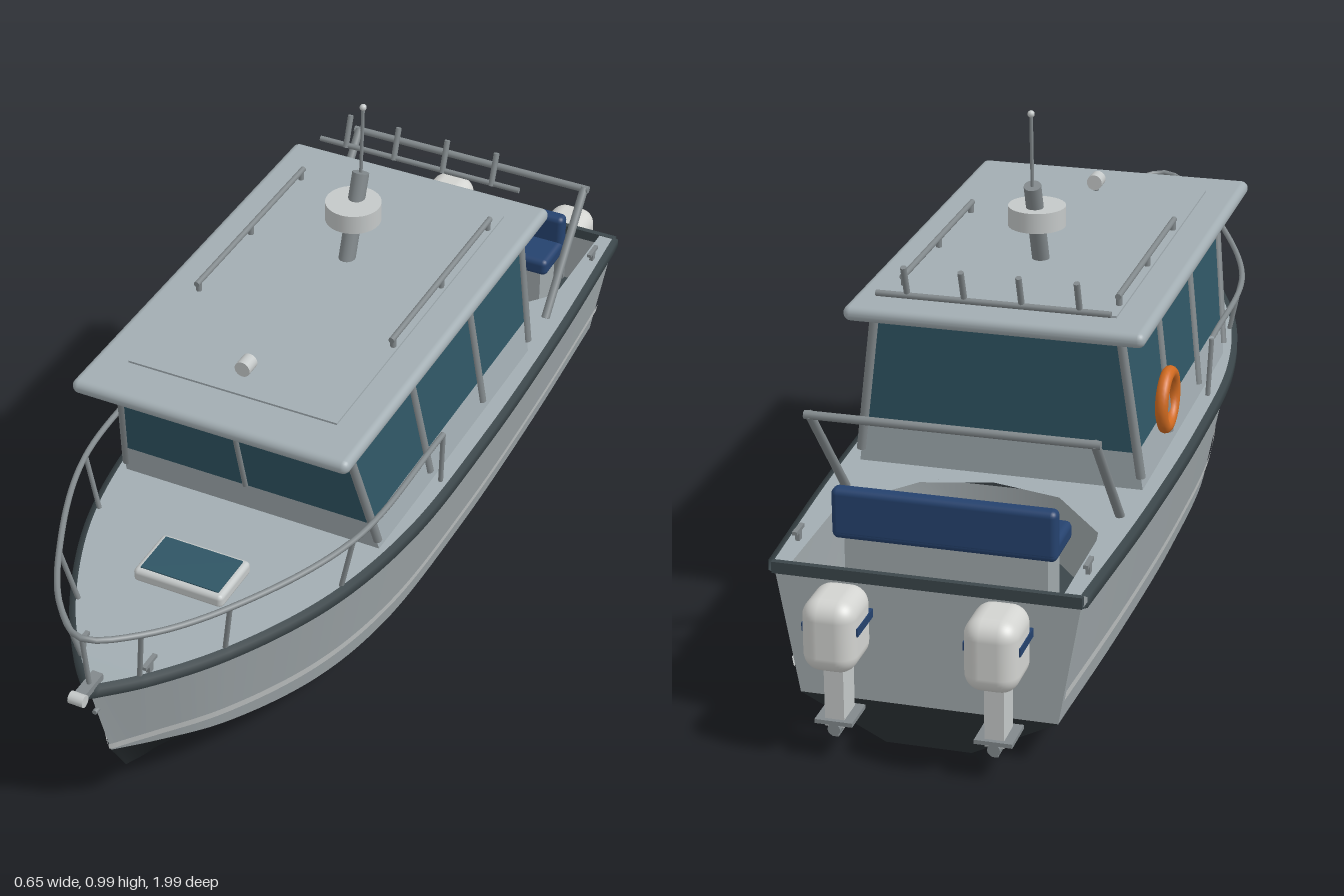
import * as THREE from 'three';
import { RoundedBoxGeometry } from 'three/addons/geometries/RoundedBoxGeometry.js';

const V = (x, y, z) => new THREE.Vector3(x, y, z);
const mat = (name, color, side = THREE.FrontSide) =>
  Object.assign(new THREE.MeshStandardMaterial({ color, side }), { name });

export function createModel() {
  const D = THREE.DoubleSide;
  const hullGrey = mat('hull grey', 0xa0a8ab, D);
  const deckGrey = mat('deck grey', 0xa2adb2, D);
  const stripeGrey = mat('pale grey', 0xc4c8c8, D);
  const bottomPaint = mat('bottom paint', 0x24292c, D);
  const rubber = mat('dark rubber', 0x3b464a, D);
  const glass = mat('tinted glass', 0x2f5564);
  const metal = mat('rail metal', 0x82898c);
  const blue = mat('seat blue', 0x25426e);
  const orange = mat('buoy orange', 0xd06a20);
  const white = mat('engine white', 0xd2d3d0);

  const boat = new THREE.Group();
  boat.name = 'boat';

  // Helpers
  const add = (name, geo, material, x = 0, y = 0, z = 0, parent = boat) => {
    const m = new THREE.Mesh(geo, material);
    m.name = name;
    m.position.set(x, y, z);
    parent.add(m);
    return m;
  };
  const box = (name, w, h, d, material, x, y, z, parent) =>
    add(name, new THREE.BoxGeometry(w, h, d), material, x, y, z, parent);
  const bar = (name, a, b, r, material = metal, sides = 10) => {
    const m = add(name, new THREE.CylinderGeometry(r, r, a.distanceTo(b), sides), material);
    m.position.copy(a).lerp(b, 0.5);
    m.quaternion.setFromUnitVectors(V(0, 1, 0), b.clone().sub(a).normalize());
    return m;
  };
  const loft = (name, rows, material) => {
    const n = rows[0].length, index = [];
    for (let i = 0; i < rows.length - 1; i++)
      for (let j = 0; j < n - 1; j++) {
        const a = i * n + j, b = a + n;
        index.push(a, a + 1, b, a + 1, b + 1, b);
      }
    const g = new THREE.BufferGeometry().setFromPoints(rows.flat());
    g.setIndex(index);
    g.computeVertexNormals();
    return add(name, g, material);
  };
  const flip = (p) => V(-p.x, p.y, p.z);
  const loftBoth = (name, rows, material) => {
    loft(name + 'Left', rows, material);
    loft(name + 'Right', rows.map((r) => r.map(flip).reverse()), material);
  };

  // Hull lines of the left half, stern to bow
  const N = 80;
  const line = (pts) => {
    const c = new THREE.CatmullRomCurve3(pts.map((p) => V(...p)));
    return Array.from({ length: N + 1 }, (_, i) => c.getPoint(i / N));
  };
  const sheer = line([[.285, .335, -.875], [.307, .335, -.5], [.316, .335, -.1], [.305, .337, .25],
    [.256, .345, .5], [.162, .358, .72], [.072, .371, .86], [0, .382, .945]]);
  const chine = line([[.24, .08, -.875], [.258, .08, -.5], [.266, .08, -.1], [.255, .085, .25],
    [.213, .1, .47], [.13, .13, .68], [.055, .155, .8], [0, .175, .88]]);
  const keel = line([[.08, 0, -.875], [.08, 0, -.5], [.08, 0, -.1], [.065, .005, .2],
    [.045, .024, .46], [.02, .052, .66], [.008, .07, .76], [0, .095, .83]]);

  // Hull sides, bottom and painted stripe
  loftBoth('hullSide', chine.map((c, i) => [c, sheer[i]]), hullGrey);
  loftBoth('hullBottom', chine.map((c, i) => [keel[i], c]), bottomPaint);
  loft('keelFlat', keel.map((k) => [flip(k), k]), bottomPaint);
  const outward = sheer.map((p, i) => {
    const t = sheer[Math.min(i + 1, N)].clone().sub(sheer[Math.max(i - 1, 0)]);
    return i === N ? V(0, 0, 1) : V(t.z, 0, -t.x).normalize();
  });
  loftBoth('hullStripe', chine.map((c, i) => {
    const t = .19 - .16 * (i / N) ** 4;
    return [t, t + .075].map((s) => c.clone().lerp(sheer[i], s).addScaledVector(outward[i], .003));
  }), stripeGrey);

  // Rubber rail around the gunwale
  const railSection = [[-.002, -.024], [.008, -.02], [.008, 0], [-.004, .003]];
  loftBoth('rubRail', sheer.map((p, i) => railSection.map(([o, dy]) => {
    const q = p.clone().addScaledVector(outward[i], o);
    q.y += dy;
    return q;
  })), rubber);
  box('sternRail', .57, .022, .012, rubber, 0, .325, -.878);

  // Transom
  const [s0, c0, k0] = [sheer[0], chine[0], keel[0]];
  loft('transom', [[flip(c0), flip(s0)], [c0, s0]], hullGrey);
  loft('transomBottom', [[flip(k0), flip(c0)], [k0, c0]], bottomPaint);

  // Deck with a cockpit opening in the stern
  const inner = (z) => (z < -.62 ? .25 : z < -.46 ? .25 - (z + .62) / .16 * .13 : 0);
  loftBoth('deck', sheer.map((p) => [V(inner(p.z), p.y, p.z), p]), deckGrey);
  const well = [[.25, -.873], [.25, -.62], [.12, -.46], [-.12, -.46], [-.25, -.62], [-.25, -.873]];
  loft('cockpitWall', well.map(([x, z]) => [V(x, .2, z), V(x, .335, z)]), hullGrey);
  const floor = new THREE.ShapeGeometry(new THREE.Shape(well.map(([x, z]) => new THREE.Vector2(x, -z))));
  add('cockpitFloor', floor.rotateX(-Math.PI / 2), rubber, 0, .2, 0);

  // Cabin: walls lean in, windscreen leans forward
  const halfW = (y) => .268 - (y - .41) * .133;
  const zFront = (y) => .335 + (y - .41) * .267;
  const zBack = (y) => -.41 - (y - .41) * .05;
  const cabinBand = (name, y0, y1, material) => {
    const g = new THREE.BoxGeometry(1, 1, 1), p = g.attributes.position;
    for (let i = 0; i < p.count; i++) {
      const y = p.getY(i) < 0 ? y0 : y1;
      p.setXYZ(i, Math.sign(p.getX(i)) * halfW(y), y, p.getZ(i) > 0 ? zFront(y) : zBack(y));
    }
    g.computeVertexNormals();
    add(name, g, material);
  };
  cabinBand('cabinWall', .325, .41, deckGrey);
  cabinBand('cabinWindows', .41, .64, glass);
  const [yl, yh] = [.36, .64];
  for (const s of [-1, 1]) {
    for (const [z0, z1] of [[zFront(yl) - .005, zFront(yh) - .005], [.08, .12], [-.175, -.155], [zBack(yl), zBack(yh)]])
      bar('windowPost', V(s * halfW(yl), yl, z0), V(s * halfW(yh), yh, z1), .009);
  }
  bar('windscreenPost', V(0, .41, zFront(.41)), V(0, yh, zFront(yh)), .006);

  // Roof, raised panel and grab rails
  add('roof', new RoundedBoxGeometry(.58, .03, .945, 3, .0145), deckGrey, 0, .65, .013);
  box('roofPanel', .44, .006, .77, deckGrey, 0, .666, 0);
  for (const s of [-1, 1]) {
    bar('roofRail', V(s * .21, .688, -.335), V(s * .21, .688, .13), .006);
    for (const z of [-.325, -.1, .12]) bar('roofRailFoot', V(s * .21, .66, z), V(s * .21, .688, z), .006);
  }

  // Rod rack at the back of the roof
  bar('rodRack', V(-.225, .695, -.447), V(.225, .695, -.447), .006);
  for (const x of [-.165, -.055, .055, .165]) bar('rodHolder', V(x, .692, -.443), V(x, .757, -.466), .006);

  // Mast, radar, aerial and searchlight
  bar('mast', V(0, .66, -.107), V(0, .835, -.17), .017, metal, 16);
  add('radar', new THREE.CylinderGeometry(.056, .056, .04, 32), stripeGrey, 0, .766, -.137);
  bar('aerial', V(0, .83, -.17), V(0, .98, -.178), .0035);
  add('aerialTip', new THREE.SphereGeometry(.007, 12, 8), stripeGrey, 0, .98, -.178);
  bar('searchlightStem', V(0, .665, .325), V(0, .69, .325), .006);
  bar('searchlight', V(0, .69, .308), V(0, .69, .34), .016, stripeGrey, 20);

  // Foredeck hatch
  add('hatchFrame', new RoundedBoxGeometry(.19, .03, .122, 2, .01), stripeGrey, 0, .36, .555);
  box('hatchGlass', .166, .006, .1, glass, 0, .374, .555);

  // Bow rail and stanchions
  const railTop = [[.302, .46, .08], [.287, .462, .45], [.178, .477, .735], [.082, .497, .89], [0, .51, .957]].map((p) => V(...p));
  const railFoot = [[.297, .34, .075], [.262, .34, .45], [.155, .355, .715], [.06, .37, .865], [0, .38, .94]].map((p) => V(...p));
  const railPath = new THREE.CatmullRomCurve3([...railTop, ...railTop.slice(0, -1).reverse().map(flip)]);
  add('bowRail', new THREE.TubeGeometry(railPath, 72, .006, 8), metal);
  railTop.forEach((p, i) => {
    bar('stanchion', railFoot[i], p, .005);
    if (p.x) bar('stanchion', flip(railFoot[i]), flip(p), .005);
  });

  // Anchor roller, bow eye and cleats
  box('anchorRoller', .022, .014, .08, metal, 0, .386, .95);
  bar('rollerWheel', V(-.015, .386, .982), V(.015, .386, .982), .012, stripeGrey, 14);
  bar('bowEye', V(0, .31, .915), V(0, .31, .93), .005);
  for (const s of [-1, 1])
    for (const [x, y, z] of [[.07, .374, .845], [.27, .337, -.78]]) {
      box('cleatFoot', .008, .018, .014, metal, s * x, y + .006, z);
      box('cleatBar', .009, .007, .042, metal, s * x, y + .018, z);
    }

  // Stern arch
  for (const s of [-1, 1]) bar('archLeg', V(s * .265, .335, -.53), V(s * .265, .555, -.718), .009);
  bar('archBar', V(-.275, .553, -.717), V(.275, .553, -.717), .008);

  // Cockpit bench
  box('benchBase', .38, .145, .08, hullGrey, 0, .272, -.72);
  add('benchCushion', new RoundedBoxGeometry(.42, .038, .115, 3, .012), blue, 0, .36, -.718);
  add('benchBack', new RoundedBoxGeometry(.42, .095, .032, 3, .012), blue, 0, .392, -.76);

  // Lifebuoy and side lamp on the right wall
  const buoy = add('lifebuoy', new THREE.TorusGeometry(.053, .013, 12, 36), orange, -.277, .437, -.2);
  buoy.rotation.y = Math.PI / 2;
  box('sideLamp', .02, .022, .03, orange, -.258, .625, .3);

  // Twin outboard engines
  for (const s of [-1, 1]) {
    const e = new THREE.Group();
    e.name = 'outboardEngine';
    e.position.x = s * .147;
    boat.add(e);
    add('cowling', new RoundedBoxGeometry(.1, .138, .122, 5, .034), white, 0, .251, -.938, e);
    box('cowlingStripe', .104, .016, .085, blue, 0, .262, -.93, e);
    box('engineBracket', .05, .09, .05, metal, 0, .215, -.89, e);
    box('engineLeg', .036, .13, .058, stripeGrey, 0, .13, -.93, e);
    box('cavitationPlate', .07, .008, .075, metal, 0, .076, -.93, e);
    box('skeg', .012, .03, .045, metal, 0, .06, -.935, e);
    const hub = add('propellerHub', new THREE.CylinderGeometry(.012, .012, .05, 12), metal, 0, .062, -.94, e);
    hub.rotation.x = Math.PI / 2;
  }
  return boat;
}
